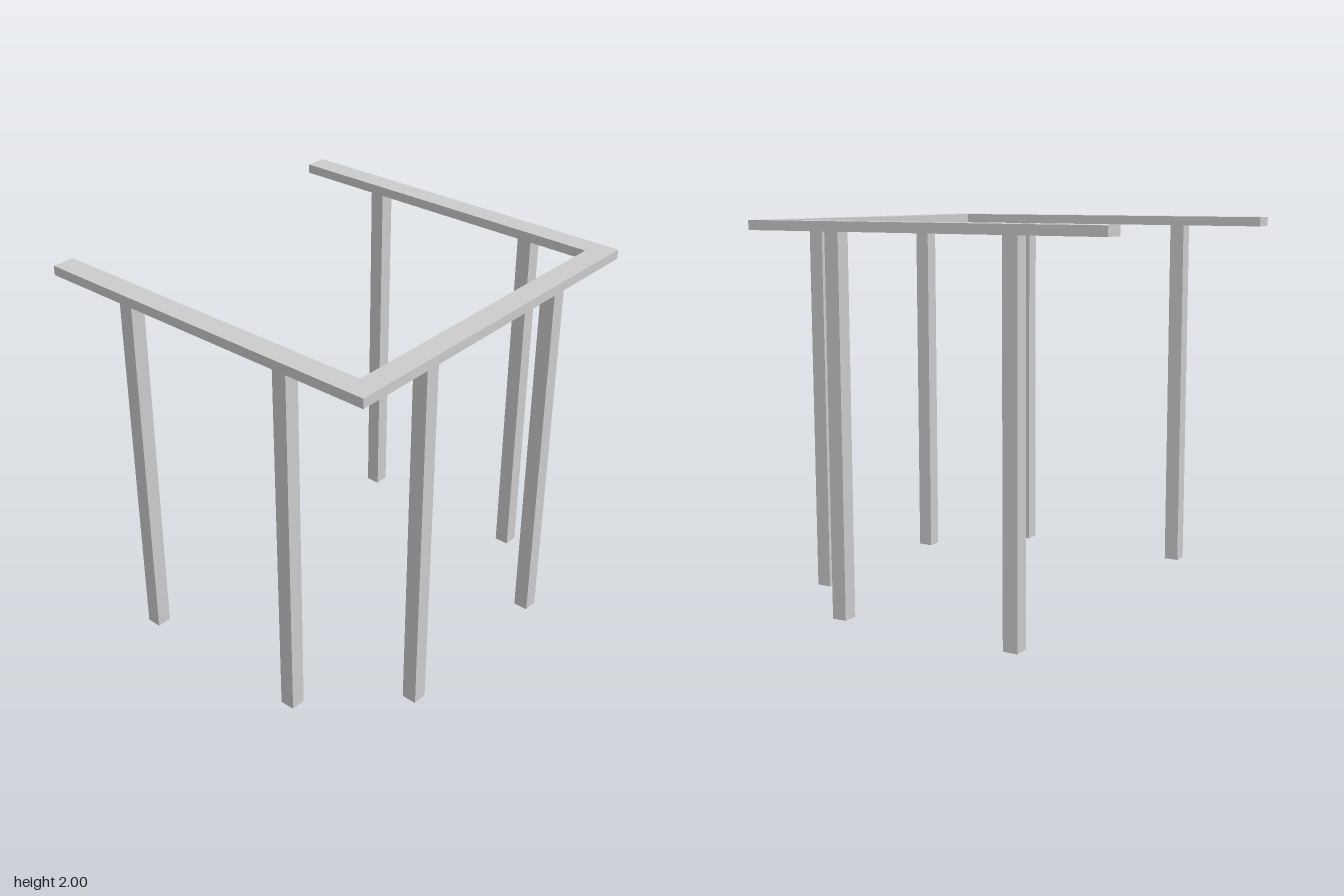
import * as THREE from 'three';

export function createModel() {
  const group = new THREE.Group();
  const material = new THREE.MeshStandardMaterial({ color: 0xcccccc, flatShading: true });
  const top = 2, railHeight = 0.05, railWidth = 0.12, postSize = 0.08;
  const postHeight = top - railHeight;

  // U-shaped rail, open at the back
  const inner = 1 - railWidth;
  const outline = new THREE.Shape([
    [-1, -1], [-inner, -1], [-inner, inner], [inner, inner],
    [inner, -1], [1, -1], [1, 1], [-1, 1],
  ].map(([x, z]) => new THREE.Vector2(x, z)));
  const railGeometry = new THREE.ExtrudeGeometry(outline, { depth: railHeight, bevelEnabled: false });
  railGeometry.rotateX(Math.PI / 2); // shape y becomes z, depth runs downwards
  const rail = new THREE.Mesh(railGeometry, material);
  rail.name = 'topRail';
  rail.position.y = top;
  group.add(rail);

  // Square posts, two under each run of the rail
  const postGeometry = new THREE.BoxGeometry(postSize, postHeight, postSize);
  const addPost = (name, x, z) => {
    const post = new THREE.Mesh(postGeometry, material);
    post.name = name;
    post.position.set(x, postHeight / 2, z);
    group.add(post);
  };
  for (const [side, s] of [['left', 1], ['right', -1]]) {
    addPost(`${side}FrontPost`, s * 0.5, 0.94);
    addPost(`${side}SideForwardPost`, s * 0.94, 0.5);
    addPost(`${side}SideRearPost`, s * 0.94, -0.5);
  }
  return group;
}
